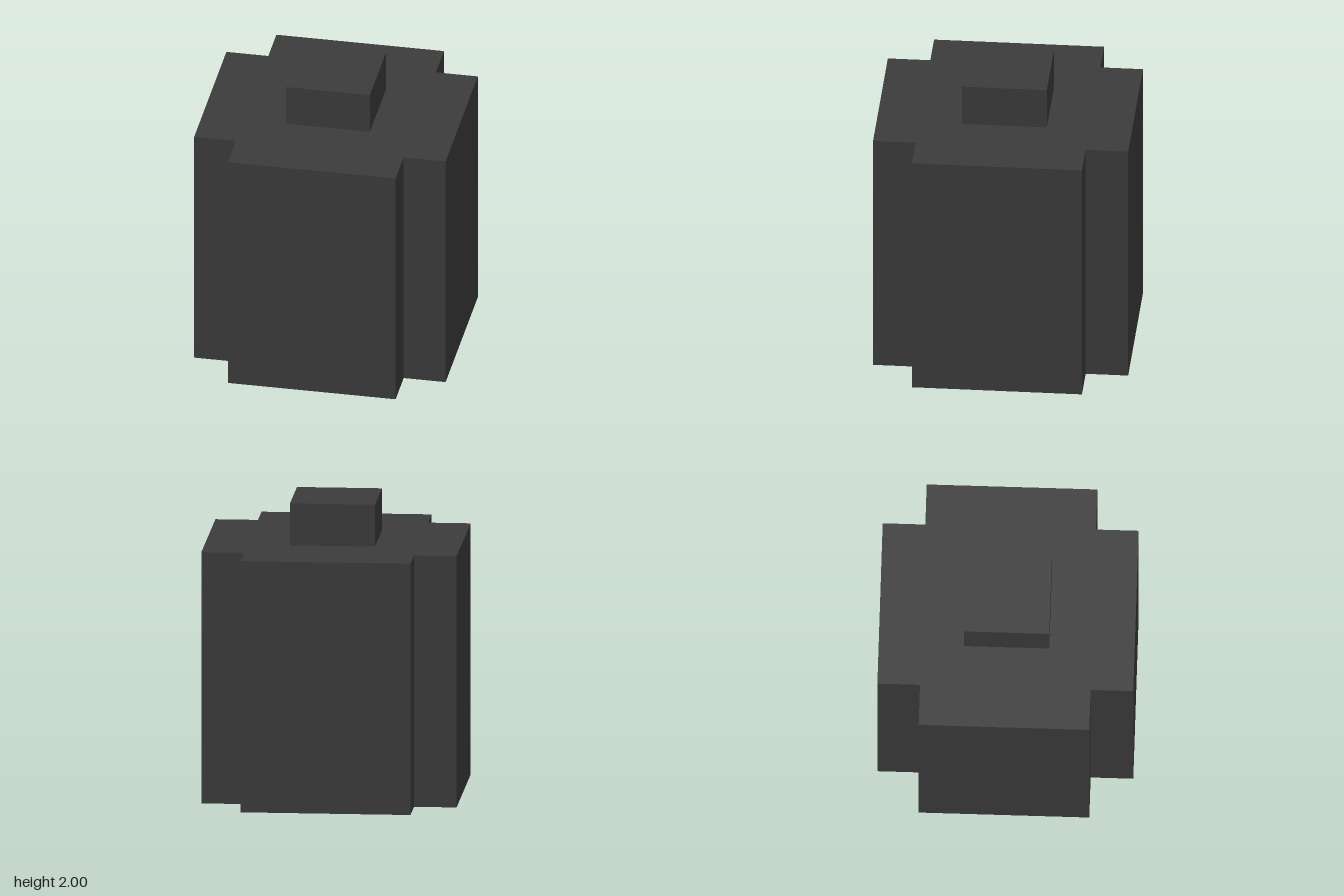
import * as THREE from 'three';

const U = 2 / 7; // grid unit: the model is seven units tall

export function createModel() {
  const group = new THREE.Group();
  group.name = 'notchedCanister';
  const charcoal = new THREE.MeshStandardMaterial({ color: 0x3c3c3c });
  charcoal.name = 'charcoal';

  // Body: a square block with its four upright corners notched
  const outer = 3 * U, inner = 2 * U;
  const points = [];
  for (let i = 0; i < 4; i++) {
    const turn = (i * Math.PI) / 2;
    for (const [x, y] of [[outer, -inner], [outer, inner], [inner, inner]]) {
      points.push(new THREE.Vector2(x, y).rotateAround(new THREE.Vector2(), turn));
    }
  }
  const bodyGeometry = new THREE.ExtrudeGeometry(new THREE.Shape(points), { depth: 6 * U, bevelEnabled: false });
  bodyGeometry.rotateX(-Math.PI / 2);
  const body = new THREE.Mesh(bodyGeometry, charcoal);
  body.name = 'body';

  // Cap: small square block on top
  const cap = new THREE.Mesh(new THREE.BoxGeometry(2 * U, U, 2 * U), charcoal);
  cap.name = 'cap';
  cap.position.y = 6.5 * U;

  group.add(body, cap);
  return group;
}
